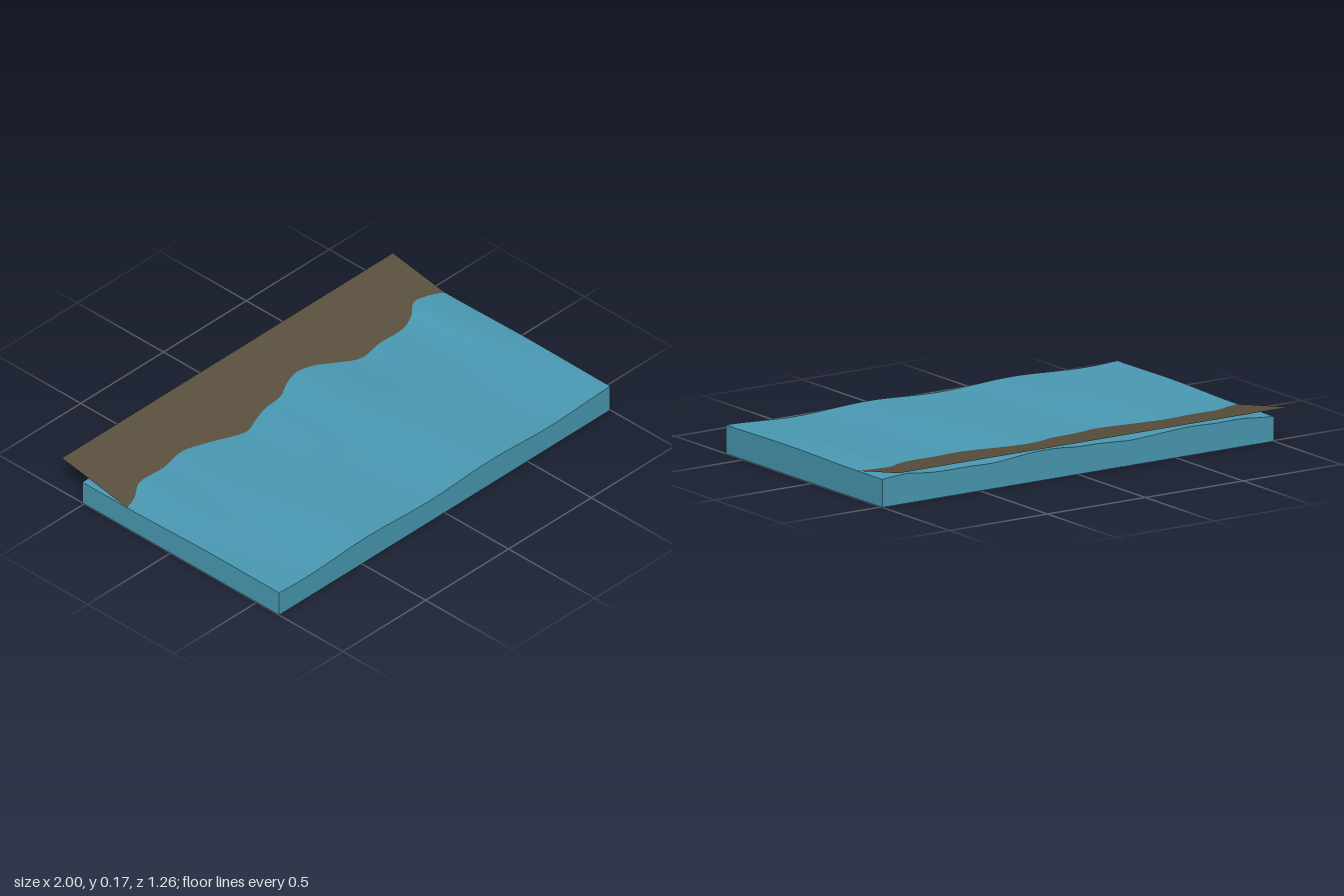
import * as THREE from 'three';

// Beach plane: rises gently toward the back
const beachHeight = (z) => 0.172 - (z + 0.63) * 0.17;

// Waterline on the beach, as x, z pairs
const shoreline = [
  [-1, -0.25], [-0.93, -0.275], [-0.85, -0.325], [-0.7, -0.325], [-0.57, -0.345], [-0.45, -0.315],
  [-0.27, -0.26], [-0.19, -0.285], [-0.1, -0.31], [0, -0.32], [0.08, -0.36], [0.16, -0.38],
  [0.25, -0.36], [0.4, -0.28], [0.46, -0.27], [0.56, -0.285], [0.7, -0.285], [0.79, -0.32],
  [0.85, -0.368], [0.92, -0.362], [1, -0.33],
];

// Smooth interpolation of the waterline at a given x
function shoreZ(x) {
  const last = shoreline.length - 1;
  let i = 0;
  while (i < last - 1 && x > shoreline[i + 1][0]) i++;
  const slope = (k) => {
    const a = shoreline[Math.max(k - 1, 0)], b = shoreline[Math.min(k + 1, last)];
    return (b[1] - a[1]) / (b[0] - a[0]);
  };
  const [x0, z0] = shoreline[i], [x1, z1] = shoreline[i + 1];
  const w = x1 - x0, t = (x - x0) / w, t2 = t * t, t3 = t2 * t;
  return (2 * t3 - 3 * t2 + 1) * z0 + (t3 - 2 * t2 + t) * w * slope(i)
    + (3 * t2 - 2 * t3) * z1 + (t3 - t2) * w * slope(i + 1);
}

// Water surface: meets the beach at the waterline and rolls out to the front swell
function waterHeight(x, z) {
  const zs = shoreZ(x);
  const t = THREE.MathUtils.clamp((z - zs) / (0.63 - zs), 0, 1);
  const swell = 0.117 + 0.007 * Math.sin((2 * Math.PI * (x + 0.65)) / 0.74);
  const blend = t * t * (3 - 2 * t);
  return THREE.MathUtils.lerp(beachHeight(zs), swell, blend) + 0.005 * Math.sin(Math.PI * t) ** 2;
}

export function createModel() {
  const group = new THREE.Group();
  const waterMat = new THREE.MeshStandardMaterial({ name: 'water blue', color: 0x4a9bb5 });
  const beachMat = new THREE.MeshStandardMaterial({ name: 'wet earth brown', color: 0x5a503e, side: THREE.DoubleSide });

  // Water: a slab with a rolling top
  const water = new THREE.BoxGeometry(2, 0.12, 1.14, 100, 1, 76);
  water.translate(0, 0.06, 0.06);
  const p = water.attributes.position;
  for (let i = 0; i < p.count; i++) {
    if (p.getY(i) > 0.06) p.setY(i, waterHeight(p.getX(i), p.getZ(i)));
  }
  water.computeVertexNormals();
  const waterMesh = new THREE.Mesh(water, waterMat);
  waterMesh.name = 'water';
  group.add(waterMesh);

  // Beach: a thin sloping sheet that dips under the water
  const beach = new THREE.PlaneGeometry(2, 0.5);
  beach.rotateX(-Math.PI / 2);
  beach.translate(0, 0, -0.38);
  const b = beach.attributes.position;
  for (let i = 0; i < b.count; i++) b.setY(i, beachHeight(b.getZ(i)));
  beach.computeVertexNormals();
  const beachMesh = new THREE.Mesh(beach, beachMat);
  beachMesh.name = 'beach';
  group.add(beachMesh);

  return group;
}
